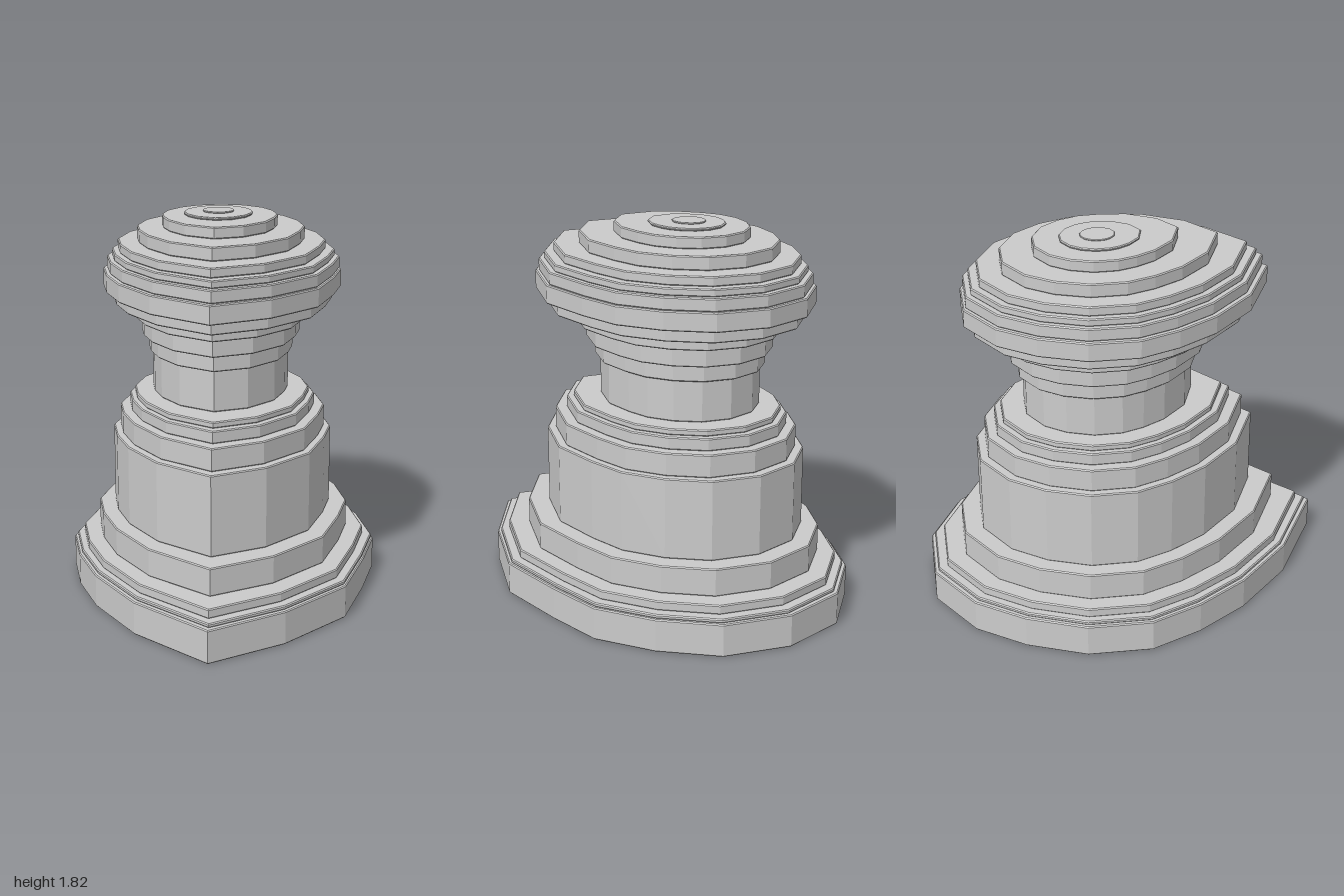
import * as THREE from 'three';

// Teardrop footprint: 16 corners [x, z], starting at the back and going round the left side
const OUTLINE = [
  [-0.02, -1.0], [0.3, -0.94], [0.56, -0.74], [0.69, -0.46],
  [0.75, -0.16], [0.69, 0.12], [0.59, 0.475], [0.31, 0.78],
  [-0.03, 1.0], [-0.38, 0.7], [-0.59, 0.39], [-0.7, 0.12],
  [-0.755, -0.14], [-0.69, -0.44], [-0.525, -0.69], [-0.325, -0.88],
];
const CZ = -0.15, HALF_WIDTH = 0.7525, FRONT = 1.15, BACK = 0.85;

// Tiers from bottom to top: [bottom y, top y, x min, x max, z front, z back]
const PARTS = {
  base: [
    [0, 0.16, -0.755, 0.75, 1.0, -1.0],
    [0.16, 0.18, -0.74, 0.74, 0.973, -0.98],
    [0.18, 0.225, -0.705, 0.695, 0.92, -0.935],
    [0.225, 0.36, -0.625, 0.61, 0.78, -0.84],
  ],
  body: [
    [0.36, 0.75, -0.547, 0.523, 0.646, -0.748],
    [0.75, 0.86, -0.513, 0.49, 0.592, -0.705],
    [0.86, 0.92, -0.465, 0.44, 0.523, -0.657],
    [0.92, 0.95, -0.44, 0.412, 0.48, -0.625],
  ],
  neck: [
    [0.95, 1.15, -0.35, 0.31, 0.319, -0.512],
    [1.15, 1.23, -0.368, 0.33, 0.351, -0.539],
    [1.23, 1.32, -0.402, 0.364, 0.4, -0.576],
    [1.32, 1.39, -0.44, 0.407, 0.469, -0.62],
  ],
  head: [
    [1.39, 1.45, -0.537, 0.518, 0.63, -0.742],
    [1.45, 1.54, -0.585, 0.561, 0.7, -0.79],
    [1.54, 1.6, -0.566, 0.552, 0.673, -0.775],
    [1.6, 1.635, -0.542, 0.528, 0.64, -0.748],
    [1.635, 1.68, -0.513, 0.484, 0.587, -0.71],
    [1.68, 1.745, -0.42, 0.383, 0.437, -0.603],
    [1.745, 1.8, -0.3, 0.253, 0.239, -0.453],
    [1.8, 1.813, -0.195, 0.135, 0.055, -0.33],
    [1.813, 1.82, -0.105, 0.045, -0.07, -0.235],
  ],
};

// One bevelled slab: the footprint fitted to the tier, rounder the smaller it is
function tierGeometry([y0, y1, xMin, xMax, zFront, zBack]) {
  const half = (xMax - xMin) / 2, midX = (xMin + xMax) / 2;
  const roundness = 1 - half / HALF_WIDTH;
  const points = OUTLINE.map(([x, z]) => {
    let u = x / HALF_WIDTH;
    let v = (z - CZ) / (z > CZ ? FRONT : BACK);
    const k = 1 + roundness * (1 / Math.hypot(u, v) - 1);
    u *= k;
    v *= k;
    const depth = v > 0 ? zFront - CZ : CZ - zBack;
    return new THREE.Vector2(midX + u * half, -(CZ + v * depth));
  });
  const bevel = Math.min(0.005, (y1 - y0) / 3);
  const geometry = new THREE.ExtrudeGeometry(new THREE.Shape(points), {
    depth: y1 - y0 - 2 * bevel,
    bevelEnabled: true,
    bevelThickness: bevel,
    bevelSize: bevel,
    bevelOffset: -bevel,
    bevelSegments: 1,
  });
  geometry.rotateX(-Math.PI / 2);
  geometry.translate(0, y0 + bevel, 0);
  return geometry;
}

export function createModel() {
  const model = new THREE.Group();
  model.name = 'tieredPedestal';
  const material = new THREE.MeshStandardMaterial({ color: 0xcccccc, flatShading: true });
  for (const [name, tiers] of Object.entries(PARTS)) {
    const part = new THREE.Group();
    part.name = name;
    tiers.forEach((tier, i) => {
      const mesh = new THREE.Mesh(tierGeometry(tier), material);
      mesh.name = `${name}Tier${i + 1}`;
      part.add(mesh);
    });
    model.add(part);
  }
  return model;
}
